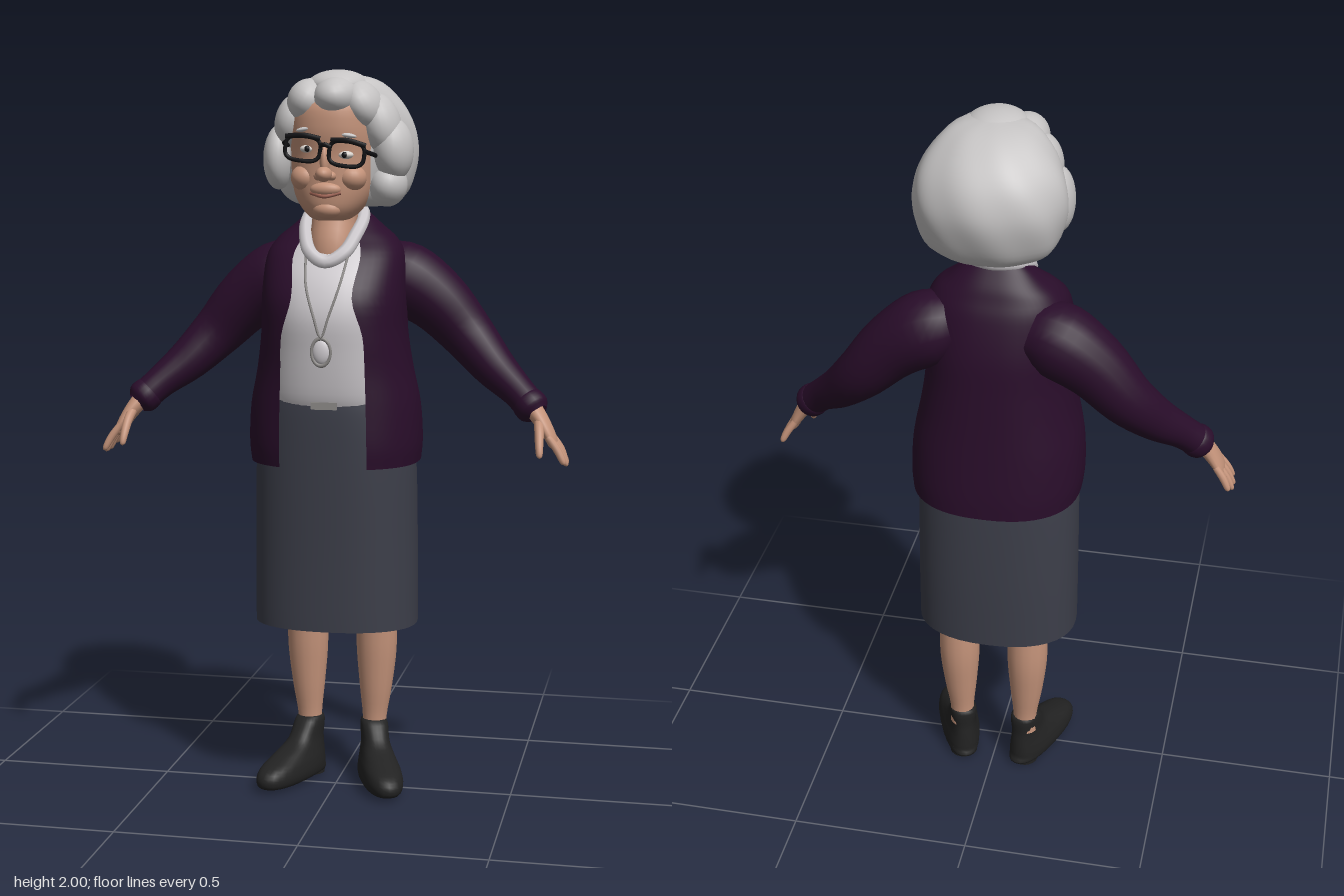
import * as THREE from 'three';
import { mergeVertices } from 'three/addons/utils/BufferGeometryUtils.js';
import { ParametricGeometry } from 'three/addons/geometries/ParametricGeometry.js';

const colour = (name, hex, side = THREE.FrontSide) => {
  const m = new THREE.MeshStandardMaterial({ color: hex, side });
  m.name = name;
  return m;
};

// Smooth interpolation through rows of numbers, t from 0 to 1
function smoothRows(rows) {
  const cubic = new THREE.CubicInterpolant(rows.map((_, i) => i), rows.flat(), rows[0].length);
  return t => Array.from(cubic.evaluate(t * (rows.length - 1)));
}

// Smooth surface from a function of (u, v), welded at seams
function surface(fn, nu, nv) {
  const g = new ParametricGeometry(fn, nu, nv);
  g.deleteAttribute('uv');
  g.deleteAttribute('normal');
  const welded = mergeVertices(g, 1e-5);
  welded.computeVertexNormals();
  return welded;
}

const bend = (s, n) => Math.sign(s) * Math.pow(Math.abs(s), 2 / n);

// Stacked cross-sections: rows of [y, halfWidth, zFront, zBack, centreX, frontOpening]
function stack(rows, { n = 2, nu = 40, nv = (rows.length - 1) * 4, ripple } = {}) {
  const at = smoothRows(rows);
  return surface((u, v, p) => {
    const [y, w, zf, zb, cx = 0, open = 0] = at(v);
    const a0 = open > 0 ? Math.asin(Math.pow(Math.min(open / w, 1), n / 2)) : 0;
    const a = a0 + u * (2 * Math.PI - 2 * a0);
    const k = ripple ? ripple(a, y) : 1;
    p.set(cx + k * w * bend(Math.sin(a), n), y, (zf + zb) / 2 + k * (zf - zb) / 2 * bend(Math.cos(a), n));
  }, nu, nv);
}

// Tapered limb: rows of [x, y, z, radius, radiusAcross]
function limb(rows, nu = 16, per = 4) {
  const full = rows.map(r => r.length < 5 ? [...r, r[3]] : r);
  const at = smoothRows(full);
  const point = t => new THREE.Vector3(...at(t));
  return surface((u, v, p) => {
    const [x, y, z, r1, r2] = at(v);
    const t = point(Math.min(v + 0.01, 1)).sub(point(Math.max(v - 0.01, 0))).normalize();
    const n = new THREE.Vector3(0, 0, 1).cross(t).normalize();
    const b = t.clone().cross(n);
    const a = u * Math.PI * 2;
    p.set(x, y, z).addScaledVector(n, Math.max(r1, 0) * Math.cos(a)).addScaledVector(b, Math.max(r2, 0) * Math.sin(a));
  }, nu, (rows.length - 1) * per);
}

function cord(points, radius, closed = false, segments = 40) {
  const curve = new THREE.CatmullRomCurve3(points.map(p => new THREE.Vector3(...p)), closed);
  return new THREE.TubeGeometry(curve, segments, radius, 8, closed);
}

export function createModel() {
  const model = new THREE.Group();
  model.name = 'elderlyWoman';
  const both = THREE.DoubleSide;
  const skin = colour('skin', 0xc4937a), hair = colour('greyHair', 0xc6c4c4);
  const knit = colour('purpleKnit', 0x290d2a, both), cloth = colour('blouseWhite', 0xcdc9cd, both);
  const wool = colour('skirtGrey', 0x3c3e49, both), leather = colour('shoeBlack', 0x222222);
  const black = colour('glassesBlack', 0x111114), white = colour('eyeWhite', 0xd8d2cc);
  const metal = colour('necklaceGrey', 0x8d8a88), lip = colour('lipRose', 0x9c6152);

  const add = (name, geometry, material, parent = model) => {
    const m = new THREE.Mesh(geometry, material);
    m.name = name;
    parent.add(m);
    return m;
  };
  const ball = (name, material, pos, size, parent = model, tilt = 0) => {
    const m = add(name, new THREE.SphereGeometry(1, 24, 16), material, parent);
    m.position.set(...pos);
    m.scale.set(...size);
    m.rotation.z = tilt;
    return m;
  };

  // Skirt, blouse and open cardigan
  add('skirt', stack([
    [0.48, 0.228, 0.15, -0.185], [0.70, 0.227, 0.152, -0.185], [0.95, 0.222, 0.157, -0.175],
    [1.07, 0.205, 0.158, -0.155], [1.125, 0.19, 0.155, -0.14]], { n: 2.3 }), wool);
  add('blouse', stack([
    [1.09, 0.185, 0.15, -0.15], [1.14, 0.185, 0.168, -0.16], [1.25, 0.18, 0.186, -0.17], [1.35, 0.175, 0.197, -0.17],
    [1.44, 0.17, 0.17, -0.16], [1.51, 0.15, 0.118, -0.14], [1.57, 0.10, 0.06, -0.11], [1.62, 0.07, 0.01, -0.08]],
  { n: 2.3 }), cloth);
  add('cardigan', stack([
    [0.94, 0.233, 0.195, -0.228, 0, 0.12], [1.00, 0.238, 0.20, -0.225, 0, 0.12], [1.10, 0.232, 0.20, -0.215, 0, 0.118],
    [1.20, 0.212, 0.203, -0.205, 0, 0.115], [1.30, 0.198, 0.213, -0.196, 0, 0.11], [1.40, 0.196, 0.205, -0.186, 0, 0.082],
    [1.50, 0.19, 0.14, -0.16, 0, 0.092], [1.55, 0.165, 0.085, -0.138, 0, 0.08],
    [1.585, 0.125, 0.045, -0.12, 0, 0.068], [1.625, 0.08, -0.005, -0.088, 0, 0.055]], { n: 2.4, nu: 48 }), knit);
  const buckle = add('beltBuckle', new THREE.BoxGeometry(0.07, 0.02, 0.008), metal);
  buckle.position.set(0, 1.108, 0.162);

  // Neck, collar and necklace
  add('neck', limb([[0, 1.44, 0.055, 0.05], [0, 1.52, 0.055, 0.062], [0.003, 1.60, 0.03, 0.062], [0.005, 1.68, 0.01, 0.07]]), skin);
  const ringOf = half => [...half, ...half.slice(1, -1).reverse().map(([x, y, z]) => [-x, y, z])];
  add('collar', cord(ringOf([[0, 1.49, 0.135], [0.045, 1.515, 0.118], [0.068, 1.56, 0.07], [0.076, 1.605, 0.0],
    [0.055, 1.632, -0.06], [0, 1.638, -0.082]]), 0.019, true, 64), cloth);
  add('necklaceChain', cord([[-0.058, 1.51, 0.12], [-0.045, 1.43, 0.178], [-0.02, 1.35, 0.2], [0, 1.295, 0.203],
    [0.02, 1.35, 0.2], [0.045, 1.43, 0.178], [0.058, 1.51, 0.12]], 0.0035), metal);
  ball('pendantStone', cloth, [0, 1.257, 0.195], [0.024, 0.034, 0.012]);
  const rim = add('pendantRim', new THREE.TorusGeometry(0.026, 0.004, 8, 28), metal);
  rim.position.set(0, 1.257, 0.199);
  rim.scale.y = 1.4;

  // Arms, hands, legs and shoes
  for (const s of [1, -1]) {
    const side = s > 0 ? 'left' : 'right';
    const flip = rows => rows.map(([x, ...rest]) => [x * s, ...rest]);
    add(side + 'Sleeve', limb(flip([
      [0.11, 1.455, -0.08, 0.085], [0.18, 1.435, -0.09, 0.102], [0.27, 1.375, -0.093, 0.09], [0.355, 1.285, -0.088, 0.074],
      [0.43, 1.205, -0.045, 0.06], [0.50, 1.145, 0.0, 0.046], [0.555, 1.093, 0.033, 0.039], [0.55, 1.098, 0.03, 0.0]]), 20), knit);
    add(side + 'Cuff', limb(flip([[0.525, 1.122, 0.015, 0.03], [0.53, 1.117, 0.018, 0.045], [0.55, 1.098, 0.03, 0.046],
      [0.563, 1.086, 0.038, 0.03]]), 20), knit);

    const hand = new THREE.Group();
    hand.name = side + 'Hand';
    model.add(hand);
    add('palm', limb(flip([[0.545, 1.105, 0.03, 0.026, 0.028], [0.575, 1.065, 0.045, 0.021, 0.036],
      [0.598, 1.028, 0.053, 0.016, 0.042], [0.608, 1.005, 0.053, 0.012, 0.038], [0.612, 0.998, 0.053, 0, 0]])), skin, hand);
    for (let k = 0; k < 4; k++) {
      const z = 0.02 + k * 0.022, tipZ = 0.008 + k * 0.03, long = [0.8, 0.98, 1, 0.9][k];
      add('finger', limb(flip([[0.596, 1.03, z, 0.01], [0.596 + 0.028 * long, 1.03 - 0.038 * long, (z + tipZ) / 2, 0.0105],
        [0.596 + 0.046 * long, 1.03 - 0.072 * long, tipZ, 0.008], [0.596 + 0.049 * long, 1.03 - 0.081 * long, tipZ, 0]]), 10), skin, hand);
    }
    add('thumb', limb(flip([[0.568, 1.07, 0.06, 0.014], [0.572, 1.045, 0.092, 0.013], [0.575, 1.01, 0.118, 0.011],
      [0.577, 0.985, 0.13, 0.008], [0.577, 0.978, 0.132, 0]]), 10), skin, hand);

    add(side + 'Leg', limb(flip([[0.095, 0.12, -0.095, 0.036], [0.095, 0.18, -0.095, 0.035], [0.098, 0.27, -0.095, 0.047],
      [0.10, 0.38, -0.095, 0.058], [0.10, 0.50, -0.088, 0.06], [0.10, 0.62, -0.07, 0.07]])), skin);

    const shoe = new THREE.Group();
    shoe.name = side + 'Shoe';
    shoe.position.set(0.093 * s, 0, -0.092);
    shoe.rotation.y = 0.36 * s;
    model.add(shoe);
    add('shoeUpper', stack([[0.008, 0, 0.1, 0.1], [0.008, 0.045, 0.225, -0.042], [0.03, 0.057, 0.25, -0.046],
      [0.06, 0.054, 0.232, -0.045], [0.085, 0.046, 0.165, -0.043], [0.115, 0.039, 0.088, -0.04],
      [0.17, 0.036, 0.038, -0.038], [0.165, 0, 0, 0]], { n: 2.4, nu: 28 }), leather, shoe);
    const heel = add('shoeHeel', new THREE.CylinderGeometry(0.043, 0.04, 0.03, 20), leather, shoe);
    heel.position.set(0, 0.015, 0);
  }

  // Face
  const head = new THREE.Group();
  head.name = 'head';
  model.add(head);
  add('face', stack([
    [1.602, 0, 0.10, 0.10, 0.006], [1.604, 0.045, 0.14, 0.03, 0.006], [1.63, 0.078, 0.165, -0.03, 0.006],
    [1.67, 0.102, 0.173, -0.06, 0.006], [1.72, 0.113, 0.175, -0.08, 0.007], [1.78, 0.117, 0.176, -0.09, 0.008],
    [1.85, 0.118, 0.187, -0.09, 0.008], [1.92, 0.10, 0.17, -0.08, 0.01], [1.955, 0, 0.06, 0.06, 0.01]], { n: 2.2 }), skin, head);
  ball('noseTip', skin, [0.007, 1.725, 0.194], [0.022, 0.02, 0.03], head);
  ball('noseBridge', skin, [0.007, 1.76, 0.18], [0.013, 0.045, 0.022], head);
  ball('chin', skin, [0.006, 1.632, 0.145], [0.04, 0.025, 0.03], head);
  ball('upperLip', skin, [0.006, 1.685, 0.165], [0.042, 0.02, 0.022], head);
  add('mouth', cord([[-0.034, 1.676, 0.166], [0.006, 1.667, 0.184], [0.046, 1.676, 0.166]], 0.005, false, 16), lip, head);
  for (const s of [1, -1]) {
    const x = 0.008 + 0.05 * s, y = 1.783 - 0.008 * s;
    ball('nostril', skin, [0.007 + 0.017 * s, 1.72, 0.178], [0.013, 0.012, 0.016], head);
    ball('cheek', skin, [0.007 + 0.062 * s, 1.715, 0.13], [0.04, 0.036, 0.042], head);
    ball('eye', white, [x, y, 0.16], [0.022, 0.011, 0.016], head);
    ball('iris', black, [x, y, 0.172], [0.008, 0.008, 0.006], head);
    ball('eyebrow', hair, [x, y + 0.052, 0.166], [0.032, 0.007, 0.012], head, -0.15 * s);
    ball('ear', skin, [0.01 + 0.12 * s, 1.74, 0.045], [0.02, 0.045, 0.03], head);
  }

  // Glasses, worn slightly crooked
  const glasses = new THREE.Group();
  glasses.name = 'glasses';
  glasses.position.set(0.01, 1.785, 0.2);
  glasses.rotation.z = -0.12;
  model.add(glasses);
  for (const s of [1, -1]) {
    const loop = [];
    for (let i = 0; i < 20; i++) {
      const a = i / 20 * Math.PI * 2;
      loop.push([s * 0.059 + 0.047 * bend(Math.cos(a), 3.2), 0.032 * bend(Math.sin(a), 3.2), -0.004 * Math.abs(Math.cos(a))]);
    }
    add('lensFrame', cord(loop, 0.0055, true, 60), black, glasses);
    add('templeArm', cord([[0.104 * s, 0.012, 0], [0.116 * s, 0.008, -0.03], [0.122 * s, 0.0, -0.13]], 0.006, false, 12), black, glasses);
    add('browBar', cord([[0.014 * s, 0.03, 0], [0.06 * s, 0.034, 0.002], [0.108 * s, 0.026, -0.003]], 0.007, false, 12), black, glasses);
  }
  add('bridge', cord([[-0.014, 0.012, 0], [0, 0.017, 0.004], [0.014, 0.012, 0]], 0.006, false, 8), black, glasses);

  // Bouffant hair: main mass, fringe waves and side curls
  const hairdo = new THREE.Group();
  hairdo.name = 'hair';
  model.add(hairdo);
  add('hairMass', stack([
    [1.645, 0, -0.02, -0.02, 0.02], [1.637, 0.10, 0.055, -0.095, 0.02], [1.665, 0.165, 0.095, -0.145, 0.02],
    [1.73, 0.192, 0.118, -0.178, 0.02], [1.80, 0.2, 0.125, -0.192, 0.02], [1.87, 0.187, 0.128, -0.176, 0.02],
    [1.93, 0.15, 0.125, -0.132, 0.02], [1.975, 0.095, 0.11, -0.065, 0.02], [1.995, 0, 0.03, 0.03, 0.02]],
  { nu: 64, ripple: (a, y) => 1 + 0.012 * Math.sin(a * 8 + y * 22) }), hair, hairdo);
  [
    [0.025, 1.925, 0.115, 0.062, 0.055, 0.092, 0.2], [-0.05, 1.915, 0.095, 0.06, 0.062, 0.088, -0.5],
    [0.09, 1.905, 0.085, 0.055, 0.07, 0.085, 0.5], [-0.1, 1.865, 0.07, 0.05, 0.075, 0.075, -0.25],
    [0.135, 1.855, 0.065, 0.055, 0.085, 0.075, 0.25], [0.02, 1.955, 0.06, 0.085, 0.045, 0.1, 0],
    [-0.143, 1.77, 0.055, 0.043, 0.088, 0.075, -0.05], [0.166, 1.79, 0.055, 0.056, 0.085, 0.075, 0.05],
    [0.152, 1.695, 0.045, 0.052, 0.058, 0.07, -0.2],
  ].forEach(([x, y, z, a, b, c, tilt]) => ball('hairWave', hair, [x, y, z], [a, b, c], hairdo, tilt));

  return model;
}
